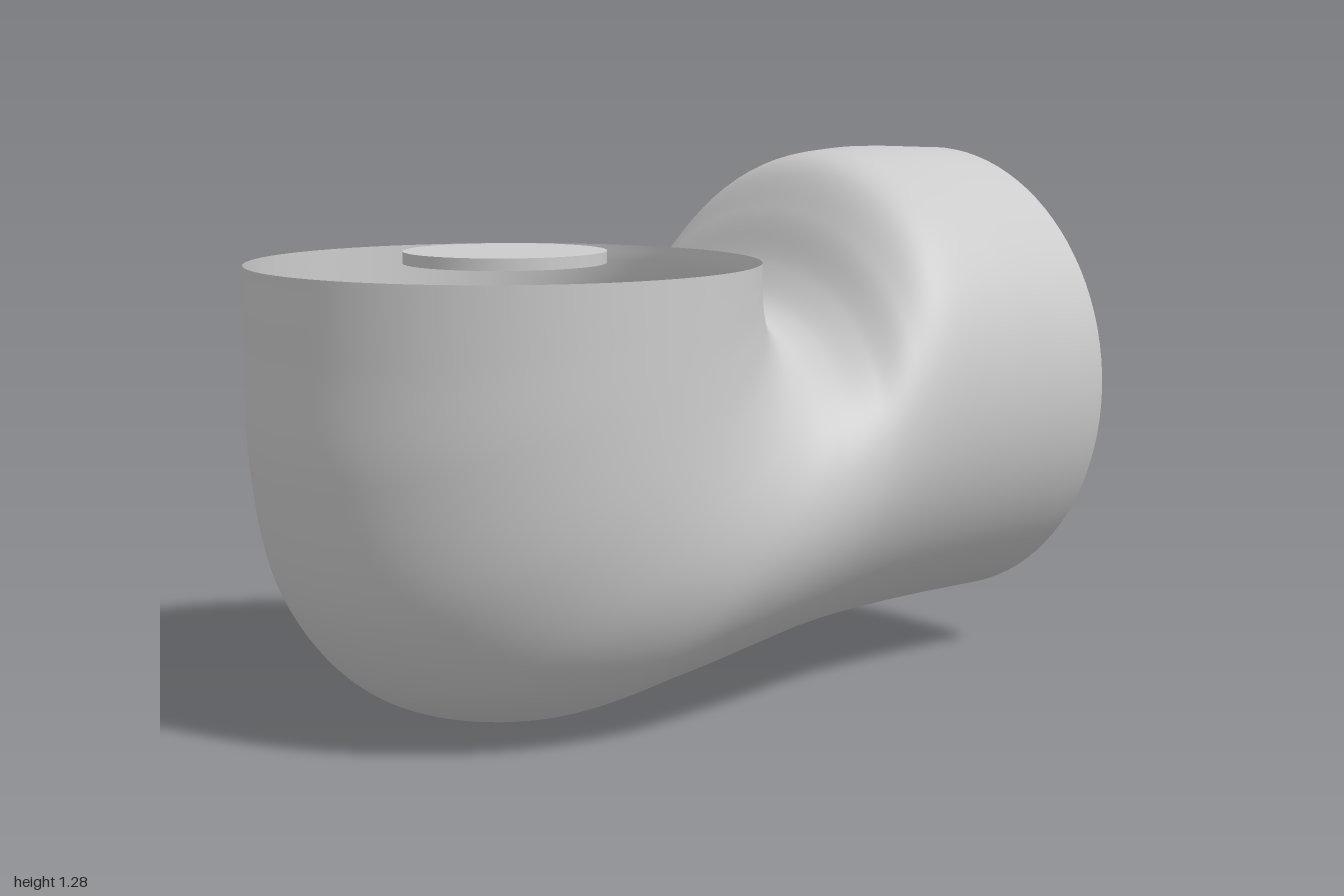
import * as THREE from 'three';

const material = new THREE.MeshStandardMaterial({ color: 0xcccccc, side: THREE.DoubleSide });
const HALF_WIDTH = 0.58;

// Smooth curve in the x = 0 plane through [z, y] points
const profile = (points) =>
  new THREE.CatmullRomCurve3(points.map(([z, y]) => new THREE.Vector3(0, y, z)));

// Outside of the bend: down the front, round the belly, back along the underside
const outer = profile([
  [1, 1.04], [1, 0.85], [0.998, 0.6], [0.93, 0.29], [0.76, 0.085], [0.5, 0.003],
  [0.2, 0.032], [-0.05, 0.067], [-0.25, 0.09], [-0.45, 0.103], [-0.7, 0.11], [-0.97, 0.11],
]);

// Inside of the bend: a tight saddle, then up onto the top of the rear tube
const inner = profile([
  [-0.165, 1.04], [-0.165, 1.01], [-0.172, 0.97], [-0.185, 0.935], [-0.205, 0.915], [-0.23, 0.91],
  [-0.28, 0.928], [-0.345, 1.0], [-0.41, 1.13], [-0.5, 1.245], [-0.65, 1.275], [-0.97, 1.27],
]);

// Elliptical cross-sections spanning the two profiles
function elbowGeometry(rows = 120, cols = 96) {
  const positions = [];
  const index = [];
  for (let i = 0; i <= rows; i++) {
    const o = outer.getPoint(i / rows);
    const n = inner.getPoint(i / rows);
    const centre = o.clone().add(n).multiplyScalar(0.5);
    const axis = o.clone().sub(n).multiplyScalar(0.5);
    for (let j = 0; j < cols; j++) {
      const a = (j / cols) * Math.PI * 2;
      const p = centre.clone().addScaledVector(axis, Math.sin(a));
      positions.push(HALF_WIDTH * Math.cos(a), p.y, p.z);
      if (i < rows) {
        const k = i * cols + j;
        const r = i * cols + ((j + 1) % cols);
        index.push(k, r, k + cols, r, r + cols, k + cols);
      }
    }
  }
  const geometry = new THREE.BufferGeometry();
  geometry.setAttribute('position', new THREE.Float32BufferAttribute(positions, 3));
  geometry.setIndex(index);
  geometry.computeVertexNormals();
  return geometry;
}

export function createModel() {
  const model = new THREE.Group();
  model.name = 'elbowLink';

  const add = (name, geometry, x, y, z) => {
    const mesh = new THREE.Mesh(geometry, material);
    mesh.name = name;
    mesh.position.set(x, y, z);
    model.add(mesh);
    return mesh;
  };

  // Hollow bent shell, open at the top
  add('elbowShell', elbowGeometry(), 0, 0, 0);

  // Flat plate closing the rear tube
  add('rearPlate', new THREE.CircleGeometry(HALF_WIDTH, 96), 0, 0.69, -0.97).rotation.y = Math.PI;

  // Round mounting bosses at both ends
  add('rearBoss', new THREE.CylinderGeometry(0.285, 0.285, 0.03, 64), 0, 0.69, -0.985).rotation.x = Math.PI / 2;
  add('topBoss', new THREE.CylinderGeometry(0.23, 0.23, 0.027, 64), 0, 1.052, 0.415);

  return model;
}
